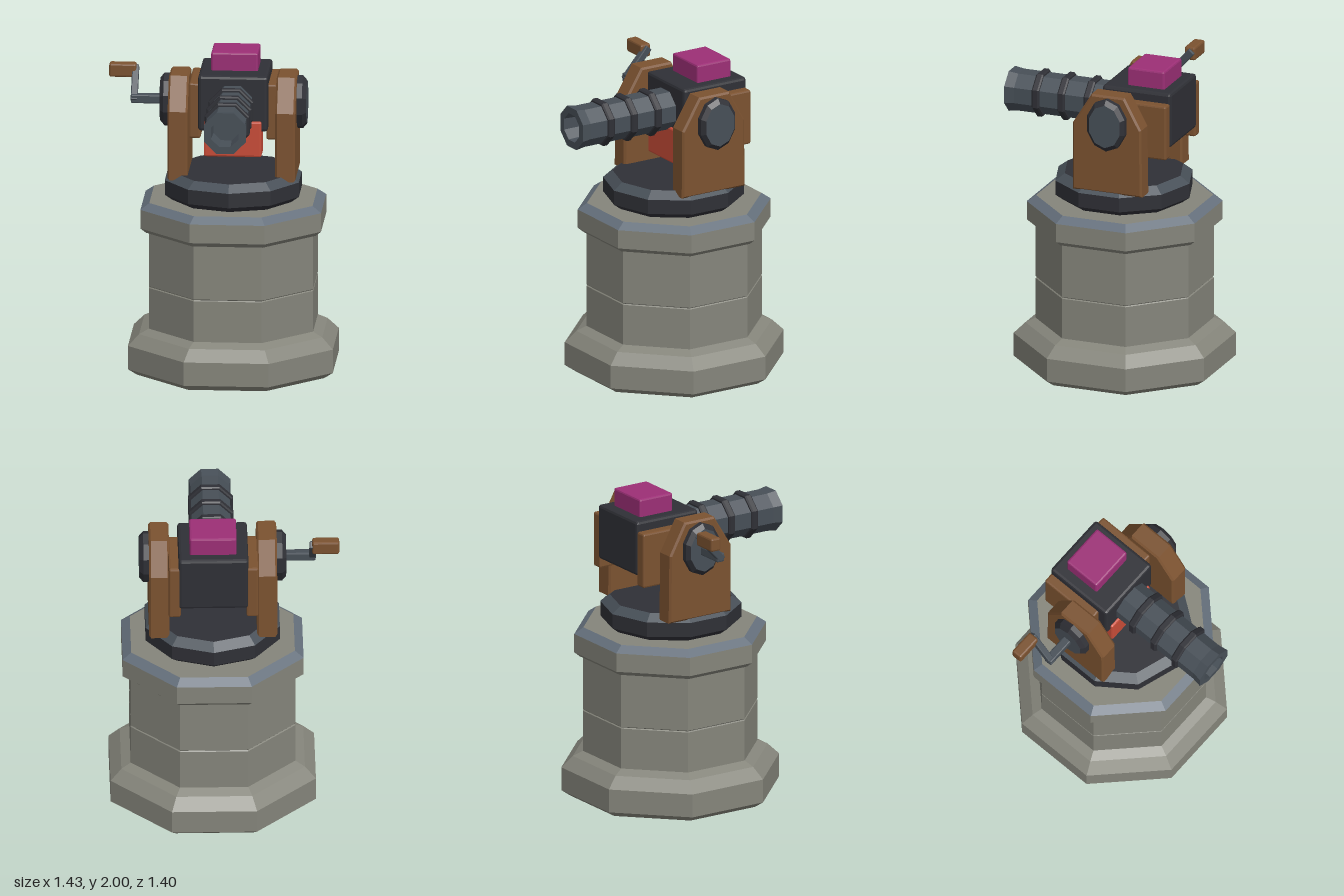
import * as THREE from 'three';
import { RoundedBoxGeometry } from 'three/addons/geometries/RoundedBoxGeometry.js';

const CX = 0.073; // centre line of the turret
const paint = (color, side = THREE.FrontSide) => new THREE.MeshStandardMaterial({ color, flatShading: true, side });

export function createModel() {
  const stone = paint(0x85857b), trim = paint(0x65707c), dark = paint(0x2f3036);
  const steel = paint(0x474f57), wood = paint(0x7b5230), red = paint(0xc84c38), magenta = paint(0x9c2f76);
  const model = new THREE.Group();

  const add = (name, geometry, material, parent = model) => {
    const mesh = new THREE.Mesh(geometry, material);
    mesh.name = name;
    parent.add(mesh);
    return mesh;
  };

  // Chamfered box given by its limits
  const box = (name, [x0, x1], [y0, y1], [z0, z1], material, bevel = 0.012) => {
    const g = new RoundedBoxGeometry(x1 - x0, y1 - y0, z1 - z0, 1, bevel);
    g.translate((x0 + x1) / 2, (y0 + y1) / 2, (z0 + z1) / 2);
    return add(name, g, material);
  };

  // Faceted solid of revolution, profile of [radius, height] from bottom to top
  const turned = (profile, sides, phase = 0, scale = 1) =>
    new THREE.LatheGeometry(profile.map(([r, y]) => new THREE.Vector2(r * scale, y)), sides, phase);
  const octagon = (profile) => turned(profile, 8, Math.PI / 8, 1 / Math.cos(Math.PI / 8));

  // Stone pedestal
  const pedestal = new THREE.Group();
  pedestal.name = 'pedestal';
  pedestal.position.set(CX, 0, -0.06);
  model.add(pedestal);
  add('foot', octagon([[0, 0], [0.585, 0], [0.64, 0.04], [0.64, 0.19], [0.572, 0.26], [0.513, 0.29]]), stone, pedestal);
  add('column', octagon([[0.513, 0.29], [0.513, 0.552], [0.507, 0.558], [0.513, 0.564], [0.513, 0.91]]), stone, pedestal);
  add('rim', octagon([[0.5, 0.91], [0.53, 0.91], [0.564, 0.94], [0.564, 1.06]]), stone, pedestal);
  add('rimBevel', octagon([[0.564, 1.06], [0.51, 1.1]]), trim, pedestal);
  add('rimTop', octagon([[0.51, 1.1], [0, 1.1]]), stone, pedestal);

  // Turntable
  const turntable = new THREE.Group();
  turntable.name = 'turntable';
  turntable.position.set(CX, 0, -0.055);
  model.add(turntable);
  add('turntableSide', turned([[0, 1.1], [0.39, 1.1], [0.44, 1.137], [0.44, 1.23]], 10), dark, turntable);
  add('turntableBevel', turned([[0.44, 1.23], [0.38, 1.275]], 10), steel, turntable);
  add('turntableTop', turned([[0.38, 1.275], [0, 1.275]], 10), dark, turntable);

  // Side brackets, inner plates and pivot hubs, mirrored about the centre line
  const b = 0.012;
  const outline = new THREE.Shape([
    [-0.132, 1.243], [0.334, 1.243], [0.328, 1.683], [0.217, 1.885], [-0.005, 1.885], [-0.13, 1.683],
  ].map(([u, y]) => new THREE.Vector2(u, y)));
  for (const s of [1, -1]) {
    const side = s > 0 ? 'left' : 'right';
    const bracket = new THREE.ExtrudeGeometry(outline, {
      depth: 0.126 - 2 * b, bevelThickness: b, bevelSize: b, bevelOffset: -b, bevelSegments: 1,
    });
    bracket.translate(0, 0, -0.063 + b);
    bracket.rotateY(Math.PI / 2);
    bracket.translate(CX + s * 0.336, 0, 0);
    add(side + 'Bracket', bracket, wood);

    const xs = [CX + s * 0.205, CX + s * 0.28].sort((p, q) => p - q);
    box(side + 'Plate', xs, [1.465, 1.82], [-0.45, -0.06], wood);

    const hub = turned([[0, -0.02], [0.17, -0.02], [0.17, 0.035], [0.14, 0.06]], 10, Math.PI / 2);
    const cap = turned([[0.14, 0.06], [0, 0.06]], 10, Math.PI / 2);
    for (const [name, g, m] of [['Hub', hub, dark], ['HubCap', cap, steel]]) {
      g.rotateZ(-s * Math.PI / 2);
      g.scale(1, 1, 0.78);
      g.translate(CX + s * 0.398, 1.703, -0.108);
      add(side + name, g, m);
    }
  }

  // Breech block with top box and lower front box
  box('breechBlock', [-0.144, 0.291], [1.53, 1.885], [-0.457, 0.005], dark, 0.018);
  box('topBox', [-0.072, 0.221], [1.86, 2.0], [-0.386, -0.138], magenta);
  box('lowerBox', [-0.107, 0.254], [1.37, 1.6], [-0.13, 0.021], red);

  // Barrel along +z with flared muzzle and open bore
  const barrel = new THREE.Group();
  barrel.name = 'barrel';
  barrel.position.set(CX, 1.703, 0);
  model.add(barrel);
  const tube = octagon([[0.122, -0.05], [0.122, 0.635], [0.131, 0.698], [0.087, 0.698], [0.08, 0.56], [0, 0.56]]);
  add('barrelTube', tube.rotateX(Math.PI / 2), steel, barrel);
  for (const z of [0.14, 0.316, 0.488]) {
    const ring = octagon([[0.115, -0.024], [0.132, -0.024], [0.14, -0.015], [0.14, 0.015], [0.132, 0.024], [0.115, 0.024]]);
    add('barrelRing', ring.rotateX(Math.PI / 2).translate(0, 0, z), dark, barrel);
  }

  // Hand crank on the right side
  box('crankShaft', [-0.57, -0.37], [1.677, 1.733], [-0.14, -0.085], steel, 0.008);
  const arm = box('crankArm', [-0.021, 0.021], [-0.125, 0.125], [-0.024, 0.024], steel, 0.006);
  arm.position.set(-0.55, 1.782, -0.18);
  arm.rotation.x = -Math.atan2(0.134, 0.148);
  box('crankHandle', [-0.714, -0.545], [1.81, 1.897], [-0.282, -0.21], wood);

  return model;
}
